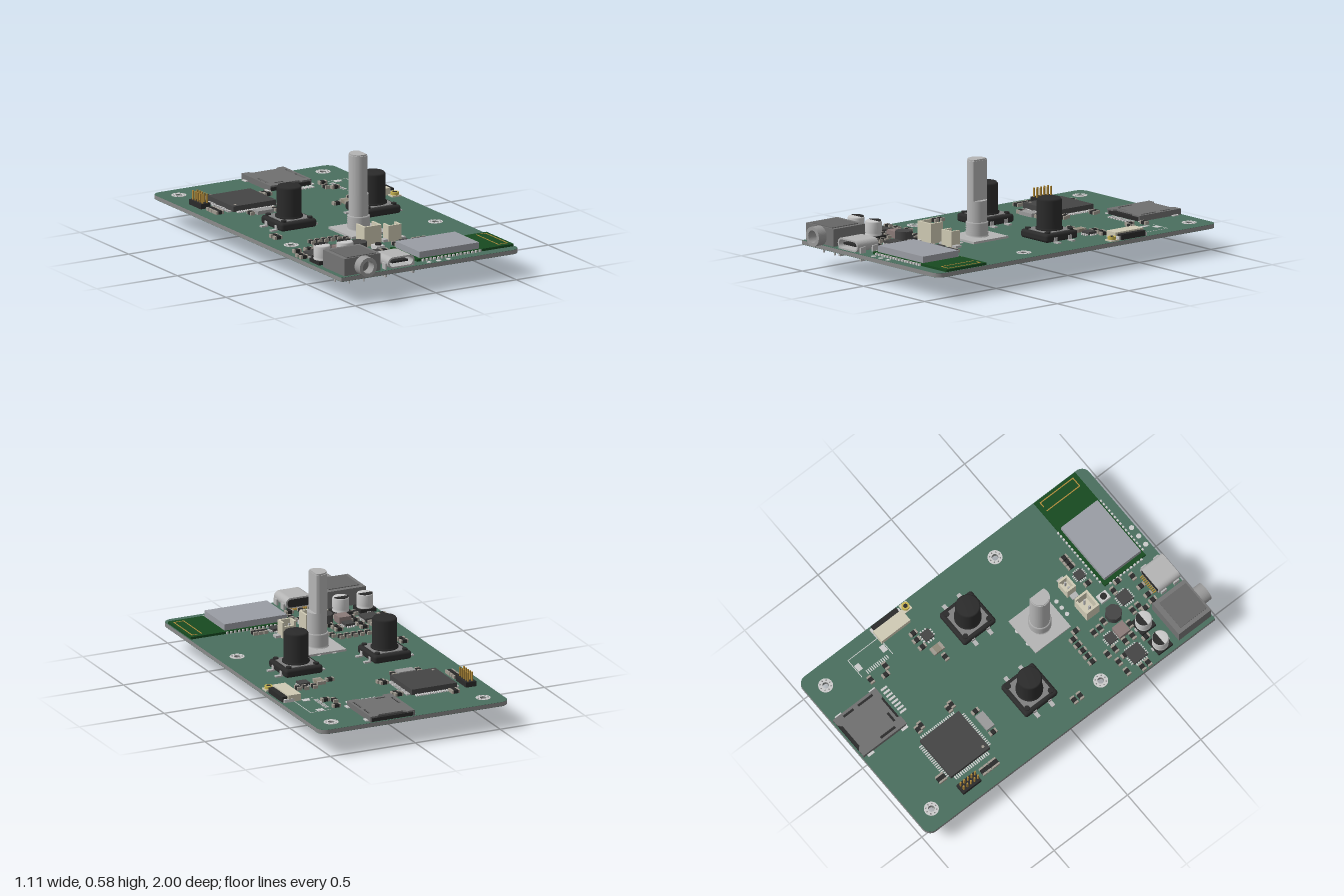
import * as THREE from 'three';
import { RoundedBoxGeometry } from 'three/addons/geometries/RoundedBoxGeometry.js';

const TOP = 0.152, BOTTOM = 0.128;
const C = { mask: 0x4a6f5e, edge: 0x8a8a8a, black: 0x2b2b2b, chip: 0x454545, metal: 0xb4b4b4, pad: 0xd4d4d0,
  steel: 0x808080, beige: 0xcfcab4, teal: 0x12a5a8, green: 0x174a20, gold: 0xb08a3a, lead: 0xa09a90 };
const mats = {};
const mat = (c) => (mats[c] ??= new THREE.MeshStandardMaterial({ color: c, side: THREE.DoubleSide }));

function add(parent, name, geo, color, x = 0, y = 0, z = 0) {
  const m = new THREE.Mesh(geo, mat(color));
  m.name = name;
  m.position.set(x, y, z);
  parent.add(m);
  return m;
}
// box given by centre x/z, size x/z and its y range
const box = (p, name, color, x, z, w, d, y0, y1) =>
  add(p, name, new THREE.BoxGeometry(w, y1 - y0, d), color, x, (y0 + y1) / 2, z);
const cyl = (p, name, color, x, z, r, y0, y1, n = 32) =>
  add(p, name, new THREE.CylinderGeometry(r, r, y1 - y0, n), color, x, (y0 + y1) / 2, z);
// flat outline in plan (shape y = -z) raised between two heights
function slab(p, name, color, shape, y0, y1) {
  const g = new THREE.ExtrudeGeometry(shape, { depth: y1 - y0, bevelEnabled: false, curveSegments: 16 });
  return add(p, name, g.rotateX(-Math.PI / 2), color, 0, y0, 0);
}
function circlePath(x, y, r) {
  return new THREE.Path().absarc(x, y, r, 0, Math.PI * 2, true);
}
function group(parent, name, x = 0, z = 0) {
  const g = new THREE.Group();
  g.name = name;
  g.position.set(x, 0, z);
  parent.add(g);
  return g;
}
const HOLES = [[-0.45, -0.895], [0.445, -0.895], [-0.45, 0.26], [0.445, 0.26]];

function board(root) {
  const g = group(root, 'circuitBoard');
  const L = -0.558, R = 0.556, B = 1, F = -0.953, r = 0.05;
  const s = new THREE.Shape();
  s.moveTo(L, F).lineTo(R - r, F).absarc(R - r, F + r, r, -Math.PI / 2, 0);
  s.lineTo(R, B - r).absarc(R - r, B - r, r, 0, Math.PI / 2);
  s.lineTo(L + r, B).absarc(L + r, B - r, r, Math.PI / 2, Math.PI);
  s.closePath();
  for (const [x, z] of HOLES) s.holes.push(circlePath(x, -z, 0.018));
  slab(g, 'boardCore', C.edge, s, BOTTOM + 0.001, TOP - 0.001);
  slab(g, 'topMask', C.mask, s, TOP - 0.001, TOP);
  slab(g, 'bottomMask', C.mask, s, BOTTOM, BOTTOM + 0.001);
  for (const [x, z] of HOLES) {
    const ring = new THREE.Shape().absarc(x, -z, 0.04, 0, Math.PI * 2);
    ring.holes.push(circlePath(x, -z, 0.018));
    slab(g, 'mountRing', C.pad, ring, TOP, TOP + 0.002);
    slab(g, 'mountRing', C.pad, ring, BOTTOM - 0.002, BOTTOM);
    for (let i = 0; i < 8; i++) {
      const a = i * Math.PI / 4;
      cyl(g, 'mountVia', C.steel, x + 0.029 * Math.cos(a), z + 0.029 * Math.sin(a), 0.004, TOP, TOP + 0.003, 8);
    }
  }
}
// square chip with leads on its four sides
function chip(root, name, x, z, size, pins, h = 0.025, color = C.chip, reach = 0.012) {
  const g = group(root, name, x, z);
  box(g, 'chipBody', color, 0, 0, size, size, TOP + 0.004, TOP + h);
  cyl(g, 'pinOneMark', C.lead, -size * 0.4, size * 0.4, size * 0.03, TOP + h, TOP + h + 0.001, 12);
  const pitch = size * 0.88 / pins, o = size / 2 + reach / 2;
  for (let i = 0; i < pins; i++) {
    const t = (i - (pins - 1) / 2) * pitch;
    for (const s of [-1, 1]) {
      box(g, 'chipLead', C.pad, t, s * o, pitch * 0.5, reach, TOP, TOP + 0.008);
      box(g, 'chipLead', C.pad, s * o, t, reach, pitch * 0.5, TOP, TOP + 0.008);
    }
  }
}
// small two-terminal part; turned = lying along z
function passive(root, x, z, turned, len = 0.046, w = 0.025, color = C.black, h = 0.018) {
  const g = group(root, 'passive', x, z);
  box(g, 'passiveBody', color, 0, 0, len * 0.55, w, TOP, TOP + h);
  for (const s of [-1, 1]) box(g, 'passiveEnd', C.lead, s * len * 0.38, 0, len * 0.24, w, TOP, TOP + h);
  if (turned) g.rotation.y = Math.PI / 2;
}
function button(root, x) {
  const g = group(root, 'pushButton', x, -0.075);
  add(g, 'buttonBase', new RoundedBoxGeometry(0.22, 0.046, 0.22, 2, 0.015), C.black, 0, 0.179, 0);
  box(g, 'buttonPlate', C.steel, 0, 0, 0.175, 0.175, 0.198, 0.206);
  const pts = [[0, 0.2], [0.074, 0.2], [0.074, 0.214], [0.067, 0.216], [0.067, 0.365], [0.06, 0.375], [0, 0.375]];
  add(g, 'buttonCap', new THREE.LatheGeometry(pts.map(p => new THREE.Vector2(...p)), 40), C.black).material.flatShading = false;
  for (const sx of [-1, 1]) for (const sz of [-1, 1]) {
    cyl(g, 'buttonRivet', C.black, sx * 0.08, sz * 0.08, 0.015, 0.2, 0.212, 16);
    box(g, 'buttonLead', C.metal, sx * 0.125, sz * 0.05, 0.04, 0.022, TOP, TOP + 0.008);
    box(g, 'buttonLead', C.metal, sx * 0.11, sz * 0.05, 0.008, 0.022, TOP, TOP + 0.03);
  }
}
function encoder(root) {
  const g = group(root, 'rotaryEncoder', 0, 0.207);
  box(g, 'encoderPlate', C.metal, 0, 0, 0.23, 0.24, TOP, TOP + 0.012);
  // threaded bushing
  const pts = [new THREE.Vector2(0.064, 0.16)];
  for (let i = 0; i < 7; i++) pts.push(new THREE.Vector2(0.062, 0.166 + i * 0.012), new THREE.Vector2(0.054, 0.172 + i * 0.012));
  pts.push(new THREE.Vector2(0, 0.25));
  add(g, 'threadedBushing', new THREE.LatheGeometry(pts, 36), C.metal);
  cyl(g, 'shaft', C.metal, 0, 0, 0.054, 0.24, 0.36, 40);
  const d = (r) => new THREE.Shape().absarc(0, 0, r, Math.PI / 3, Math.PI * 5 / 3).closePath();
  slab(g, 'flattedShaft', C.metal, d(0.054), 0.36, 0.575);
  slab(g, 'shaftTip', C.metal, d(0.05), 0.575, 0.583);
  // body under the board
  const body = new THREE.Shape([[-0.108, -0.08], [-0.075, -0.112], [0.075, -0.112], [0.108, -0.08], [0.108, 0.08],
    [0.075, 0.112], [-0.075, 0.112], [-0.108, 0.08]].map(p => new THREE.Vector2(...p)));
  slab(g, 'encoderBody', C.teal, body, 0.073, BOTTOM);
  for (const s of [-1, 1]) {
    const path = new THREE.CatmullRomCurve3([[0.112, 0.125], [0.114, 0.1], [0.127, 0.025], [0.108, 0.018]]
      .map(([x, y]) => new THREE.Vector3(s * x, y, 0)), false, 'catmullrom', 0.1);
    const strip = new THREE.TubeGeometry(path, 14, 0.005, 6);
    add(g, 'mountingLeg', strip.scale(1, 1, 4.5), C.metal);
    box(g, 'plateClip', C.metal, s * 0.11, 0, 0.008, 0.1, 0.085, TOP + 0.01);
  }
  const pin = (x, z) => {
    box(g, 'encoderPin', C.metal, x, z, 0.009, 0.005, 0, 0.095);
    box(g, 'encoderPinArm', C.metal, x, z / 2 + Math.sign(z) * 0.05, 0.009, Math.abs(z) - 0.09, 0.09, 0.096);
    cyl(g, 'pinPad', C.pad, x, z, 0.012, TOP, TOP + 0.004, 12);
  };
  for (const x of [-0.045, 0, 0.045]) pin(x, 0.15);
  for (const x of [-0.045, 0.045]) pin(x, -0.117);
}
function cardSocket(root) {
  const g = group(root, 'cardSocket');
  box(g, 'socketBase', C.black, 0.13, -0.848, 0.25, 0.285, TOP, 0.172);
  const s = new THREE.Shape([[0, 0.7], [0.05, 0.7], [0.06, 0.72], [0.19, 0.72], [0.2, 0.705], [0.26, 0.705], [0.26, 0.995],
    [0.22, 0.995], [0.2, 0.975], [0.06, 0.975], [0.04, 0.995], [0, 0.995]].map(p => new THREE.Vector2(...p)));
  for (const [x, y, w, h] of [[0.015, 0.76, 0.015, 0.1], [0.232, 0.74, 0.014, 0.1], [0.232, 0.87, 0.014, 0.07], [0.05, 0.735, 0.06, 0.015]])
    s.holes.push(new THREE.Path([[x, y], [x, y + h], [x + w, y + h], [x + w, y]].map(p => new THREE.Vector2(...p))));
  slab(g, 'socketCover', 0x707070, s, 0.176, 0.184);
  for (const x of [0.003, 0.257]) box(g, 'socketWall', 0x707070, x, -0.85, 0.006, 0.29, TOP, 0.18);
  for (let i = 0; i < 8; i++) box(g, 'socketPin', C.pad, 0.075 + i * 0.023, -0.665, 0.012, 0.04, TOP, TOP + 0.006);
  for (const x of [-0.005, 0.265]) for (const z of [-0.72, -0.95]) box(g, 'socketTab', C.pad, x, z, 0.02, 0.04, TOP, TOP + 0.005);
}
function radioModule(root) {
  const g = group(root, 'radioModule');
  box(g, 'moduleBoard', C.green, 0.25, 0.75, 0.6, 0.28, TOP, 0.165);
  box(g, 'moduleShield', 0x9a9da4, 0.159, 0.752, 0.368, 0.248, 0.165, 0.2);
  for (let i = 0; i < 16; i++) for (const z of [0.608, 0.894])
    box(g, 'modulePad', C.pad, -0.015 + i * 0.0235, z, 0.012, 0.014, TOP, 0.164);
  for (let i = 0; i < 10; i++) box(g, 'modulePad', C.pad, -0.053, 0.645 + i * 0.0235, 0.014, 0.012, TOP, 0.164);
  for (const x of [0.473, 0.53]) box(g, 'antennaTrace', C.gold, x, 0.748, 0.006, 0.226, 0.165, 0.1665);
  box(g, 'antennaTrace', C.gold, 0.5015, x0(0.86), 0.06, 0.006, 0.165, 0.1665);
  box(g, 'antennaTrace', C.gold, 0.515, x0(0.637), 0.03, 0.006, 0.165, 0.1665);
}
const x0 = (v) => v;
function audioJack(root) {
  const g = group(root, 'audioJack');
  box(g, 'jackBody', 0x747474, -0.422, 0.835, 0.226, 0.22, TOP + 0.003, 0.25);
  box(g, 'jackLid', 0x666666, -0.422, 0.845, 0.18, 0.18, 0.25, 0.254);
  const ring = new THREE.Shape().absarc(0, 0, 0.053, 0, Math.PI * 2);
  ring.holes.push(circlePath(0, 0, 0.034));
  add(g, 'jackBarrel', new THREE.ExtrudeGeometry(ring, { depth: 0.055, bevelEnabled: false, curveSegments: 24 }), 0x9a9a9a, -0.418, 0.2, 0.945);
  for (const [x, z] of [[-0.51, 0.81], [-0.465, 0.88], [-0.42, 0.79], [-0.375, 0.88], [-0.33, 0.81]])
    cyl(g, 'jackPin', C.metal, x, z, 0.005, 0.09, TOP, 8);
}
function usbPort(root) {
  const g = group(root, 'usbPort');
  const outline = (w, h, r, P) => new P().absarc(w - r, 0, h, -Math.PI / 2, Math.PI / 2).absarc(r - w, 0, h, Math.PI / 2, Math.PI * 1.5);
  const s = outline(0.082, 0.031, 0.031, THREE.Shape).closePath();
  s.holes.push(outline(0.072, 0.022, 0.022, THREE.Path).closePath());
  add(g, 'portShell', new THREE.ExtrudeGeometry(s, { depth: 0.145, bevelEnabled: false }), C.metal, -0.185, 0.187, 0.807);
  box(g, 'portTongue', C.black, -0.185, 0.88, 0.1, 0.12, 0.182, 0.192);
  box(g, 'portBack', C.black, -0.185, 0.815, 0.14, 0.016, TOP, 0.21);
  for (let i = 0; i < 10; i++) box(g, 'portPin', C.gold, -0.24 + i * 0.0122, 0.8, 0.006, 0.025, TOP, 0.16);
  for (const x of [-0.27, -0.1]) for (const z of [0.835, 0.92]) box(g, 'portTab', C.metal, x, z, 0.012, 0.035, 0.11, 0.185);
}
function plugSocket(root, x, z, w, d, h) {
  const g = group(root, 'plugSocket', x, z);
  box(g, 'socketFloor', C.beige, 0, 0, w, d, TOP, TOP + 0.025);
  for (const s of [-1, 1]) {
    box(g, 'socketSide', C.beige, s * (w / 2 - 0.006), 0, 0.012, d, TOP, h);
    box(g, 'socketContact', C.metal, s * w * 0.2, 0, 0.01, 0.01, TOP, h - 0.02);
    cyl(g, 'socketPin', C.metal, s * w * 0.2, 0, 0.005, 0.095, TOP, 8);
  }
  box(g, 'socketFront', C.beige, 0, d / 2 - 0.006, w, 0.012, TOP, h);
  box(g, 'socketRear', C.beige, 0, -d / 2 + 0.006, w, 0.012, TOP, h - 0.025);
}
function smallConnectors(root) {
  const g = group(root, 'edgeConnectors');
  // flat-cable socket and antenna plug
  box(g, 'ribbonSocket', C.beige, 0.478, -0.418, 0.075, 0.195, TOP, 0.19);
  box(g, 'ribbonLatch', C.black, 0.53, -0.42, 0.032, 0.17, TOP, 0.182);
  for (const z of [-0.512, -0.328]) box(g, 'ribbonTab', C.pad, 0.51, z, 0.06, 0.012, TOP, 0.17);
  box(g, 'coaxBase', C.beige, 0.523, -0.288, 0.055, 0.05, TOP, 0.16);
  cyl(g, 'coaxRing', 0xc8b450, 0.523, -0.288, 0.022, 0.16, 0.176, 20);
  cyl(g, 'coaxCore', C.black, 0.523, -0.288, 0.012, 0.176, 0.177, 12);
  // bare ribbon footprint
  for (let i = 0; i < 12; i++) box(g, 'ribbonPad', C.pad, 0.365, -0.675 + i * 0.0125, 0.025, 0.006, TOP, TOP + 0.002);
  for (const z of [-0.695, -0.525]) box(g, 'anchorPad', C.pad, 0.415, z, 0.04, 0.03, TOP, TOP + 0.002);
  for (const z of [-0.715, -0.505]) box(g, 'outlineMark', C.pad, 0.42, z, 0.12, 0.004, TOP, TOP + 0.001);
  box(g, 'outlineMark', C.pad, 0.48, -0.61, 0.004, 0.21, TOP, TOP + 0.001);
  // two-row pin header
  box(g, 'headerBase', C.black, -0.467, -0.652, 0.06, 0.122, TOP, 0.18);
  for (let i = 0; i < 5; i++) for (const x of [-0.48, -0.454])
    box(g, 'headerPin', C.gold, x, -0.6 - i * 0.0245, 0.008, 0.008, 0.115, 0.23);
}
function canCapacitor(root, x) {
  const g = group(root, 'canCapacitor', x, 0.637);
  box(g, 'canBase', C.black, 0, 0, 0.095, 0.095, TOP, 0.172);
  const pts = [[0.045, 0.17], [0.045, 0.18], [0.042, 0.184], [0.045, 0.19], [0.045, 0.243], [0.04, 0.25], [0, 0.25]];
  add(g, 'can', new THREE.LatheGeometry(pts.map(p => new THREE.Vector2(...p)), 28), C.pad);
  const mark = new THREE.Shape().absarc(0, 0, 0.042, 0.1, Math.PI - 0.1).closePath();
  slab(g, 'polarityMark', C.black, mark, 0.249, 0.252);
  box(g, 'canLead', C.metal, 0, 0, 0.02, 0.115, TOP, 0.158);
}

export function createModel() {
  const root = new THREE.Group();
  root.name = 'controlBoard';
  board(root);
  for (const x of [-0.262, 0.26]) button(root, x);
  encoder(root);
  cardSocket(root);
  radioModule(root);
  audioJack(root);
  usbPort(root);
  smallConnectors(root);
  for (const x of [-0.487, -0.345]) canCapacitor(root, x);
  plugSocket(root, -0.088, 0.458, 0.108, 0.085, 0.262);
  plugSocket(root, 0.065, 0.445, 0.08, 0.06, 0.24);
  for (const x of [0.01, 0.12]) box(root, 'plugTab', C.metal, x, 0.45, 0.03, 0.04, TOP, 0.165);
  // chips: x, z, size, leads per side, height
  chip(root, 'processor', -0.252, -0.575, 0.265, 18, 0.035, C.chip, 0.022);
  for (const [x, z, s, n, h] of [[-0.45, 0.5, 0.09, 6, 0.02], [-0.165, 0.652, 0.07, 5, 0.02], [0.083, 0.545, 0.05, 4, 0.02],
    [-0.3, 0.45, 0.055, 4, 0.02], [0.325, -0.3, 0.055, 3, 0.02]]) chip(root, 'smallChip', x, z, s, n, h);
  box(root, 'powerInductor', 0x8a7a78, -0.3, 0.52, 0.07, 0.07, TOP, 0.19);
  cyl(root, 'coil', C.chip, -0.205, 0.545, 0.047, TOP, 0.205, 8).rotation.y = Math.PI / 8;
  box(root, 'microphone', C.pad, -0.095, 0.565, 0.05, 0.06, TOP, 0.175);
  cyl(root, 'microphonePort', C.black, -0.095, 0.565, 0.018, 0.175, 0.185, 16);
  box(root, 'crystal', 0x9a9a9a, -0.245, -0.365, 0.1, 0.052, TOP, 0.172);
  passive(root, 0.233, -0.305, true, 0.07, 0.045, 0x8f8878);
  // small parts along x, then along z
  const across = [[-0.35, -0.76], [-0.35, -0.735], [-0.06, -0.67], [-0.05, -0.645], [-0.07, -0.47], [-0.06, -0.445], [-0.46, -0.55],
    [-0.46, -0.52], [-0.46, -0.49], [-0.46, -0.465], [-0.45, 0.08], [-0.45, 0.12], [0.317, -0.69], [0.33, -0.58], [0.17, -0.3],
    [-0.5, 0.4], [-0.43, 0.4], [-0.36, 0.38], [-0.36, 0.43], [-0.22, 0.4], [-0.22, 0.44], [-0.2, 0.48], [-0.3, 0.58],
    [-0.36, 0.5], [-0.36, 0.55], [-0.53, 0.48], [-0.53, 0.52], [-0.25, 0.64], [-0.25, 0.68], [-0.1, 0.63], [-0.1, 0.76]];
  const along = [[-0.32, -0.37], [-0.17, -0.37], [0.29, -0.61], [0.29, -0.36], [0.34, -0.36], [0.38, -0.35], [-0.34, 0.29],
    [-0.3, 0.29], [-0.26, 0.29], [-0.22, 0.29], [-0.18, 0.29], [-0.15, 0.33], [0.02, 0.55], [0.15, 0.54], [0.18, 0.54],
    [0.21, 0.54], [-0.41, 0.6], [-0.27, 0.76], [-0.23, 0.76], [-0.17, 0.76], [-0.42, 0.45], [-0.07, 0.68], [-0.28, 0.7]];
  for (const [x, z] of across) passive(root, x, z, false);
  for (const [x, z] of along) passive(root, x, z, true);
  for (const x of [0, 0.06, 0.12]) cyl(root, 'testPad', C.pad, x, 0.93, 0.014, TOP, TOP + 0.002, 16);
  return root;
}
